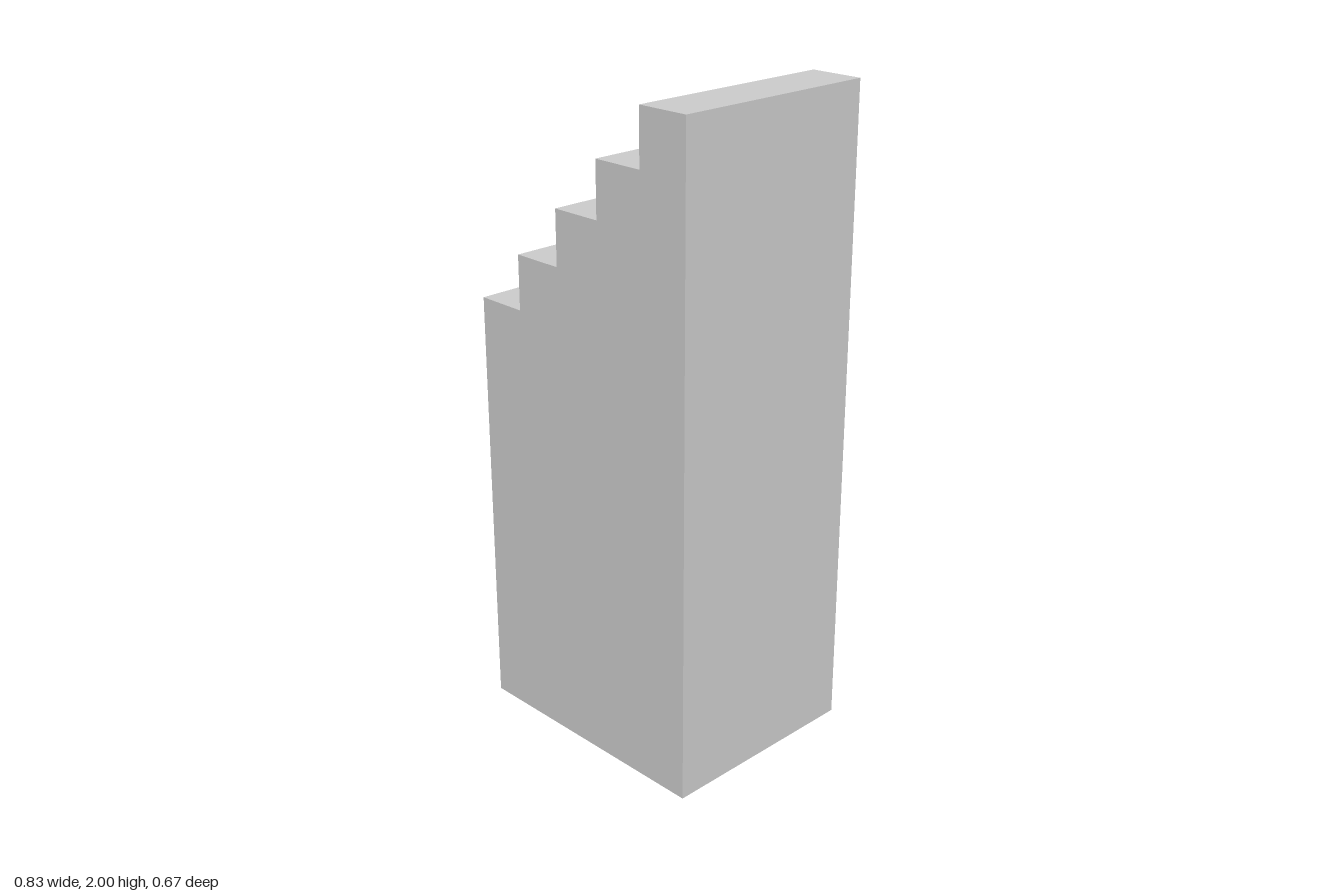
import * as THREE from 'three';

const STEPS = 5;
const STEP = 1 / 6; // tread width and riser height
const DEPTH = 4 * STEP;
const HEIGHT = 2;

export function createModel() {
  const group = new THREE.Group();
  group.name = 'steppedBlock';

  // Side profile: solid base with treads climbing towards +x
  const half = (STEPS * STEP) / 2;
  const profile = new THREE.Shape();
  profile.moveTo(-half, 0);
  profile.lineTo(half, 0);
  for (let i = 0; i < STEPS; i++) {
    const y = HEIGHT - i * STEP;
    profile.lineTo(half - i * STEP, y);
    profile.lineTo(half - (i + 1) * STEP, y);
  }
  profile.closePath();

  const geometry = new THREE.ExtrudeGeometry(profile, { depth: DEPTH, bevelEnabled: false });
  geometry.translate(0, 0, -DEPTH / 2);

  const stairs = new THREE.Mesh(geometry, new THREE.MeshStandardMaterial({ color: 0xcccccc, flatShading: true }));
  stairs.name = 'solidStairs';
  group.add(stairs);
  return group;
}
